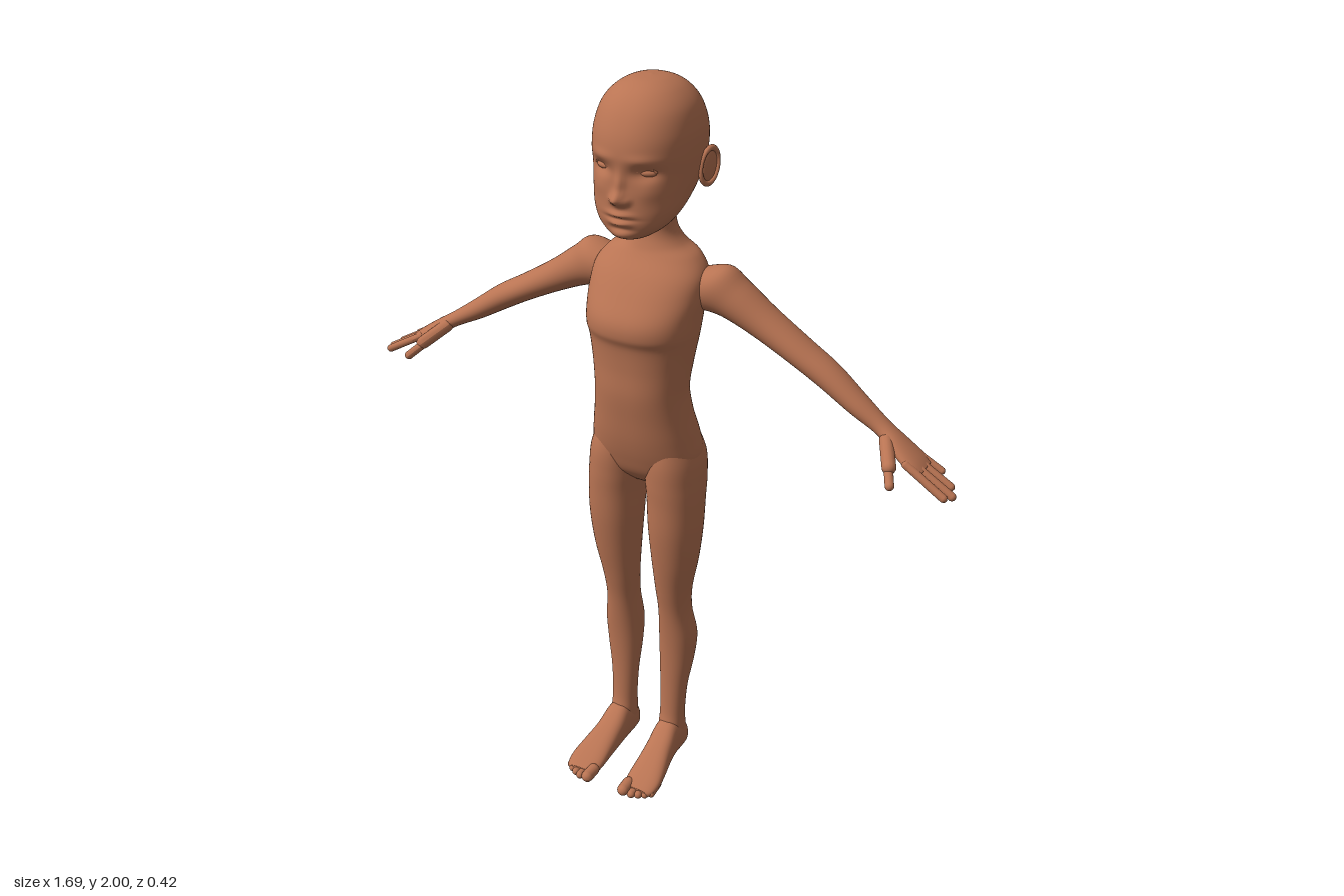
import * as THREE from 'three';

const V = (x, y, z) => new THREE.Vector3(x, y, z);
const X = V(1, 0, 0), Y = V(0, 1, 0), Z = V(0, 0, 1);

// Catmull-Rom blend of neighbouring rows of numbers
function sample(rows, t) {
  const i = Math.min(Math.floor(t), rows.length - 2), f = t - i;
  const at = k => rows[Math.max(0, Math.min(rows.length - 1, k))];
  const [a, b, c, d] = [at(i - 1), at(i), at(i + 1), at(i + 2)];
  return b.map((_, k) => 0.5 * (2 * b[k] + (c[k] - a[k]) * f
    + (2 * a[k] - 5 * b[k] + 4 * c[k] - d[k]) * f * f
    + (3 * b[k] - a[k] - 3 * c[k] + d[k]) * f ** 3));
}

// Smooth closed skin through rows [cx, cy, cz, ru, rv]; rows advance along u x v
function loft(rows, u, v, { sides = 40, steps = 6, power = 2, shape } = {}) {
  const pos = [], idx = [], n = (rows.length - 1) * steps;
  const round = c => Math.sign(c) * Math.abs(c) ** (2 / power);
  for (let i = 0; i <= n; i++) {
    const [x, y, z, ru, rv] = sample(rows, i / steps);
    for (let j = 0; j < sides; j++) {
      const a = j / sides * Math.PI * 2;
      const p = V(x, y, z).addScaledVector(u, Math.max(ru, 0.001) * round(Math.cos(a)))
        .addScaledVector(v, Math.max(rv, 0.001) * round(Math.sin(a)));
      if (shape) shape(p, Math.sin(a));
      pos.push(p.x, p.y, p.z);
      const k = (j + 1) % sides, r = i * sides;
      if (i < n) idx.push(r + j, r + k, r + sides + k, r + j, r + sides + k, r + sides + j);
    }
  }
  // end caps
  const first = rows[0], last = rows[rows.length - 1], c = pos.length / 3;
  pos.push(...first.slice(0, 3), ...last.slice(0, 3));
  for (let j = 0; j < sides; j++) {
    const k = (j + 1) % sides;
    idx.push(c, k, j, c + 1, n * sides + j, n * sides + k);
  }
  const g = new THREE.BufferGeometry();
  g.setAttribute('position', new THREE.Float32BufferAttribute(pos, 3));
  g.setIndex(idx);
  g.computeVertexNormals();
  return g;
}

// Rounded finger or toe between two points
function digit(a, b, r) {
  const d = b.clone().sub(a), len = d.length();
  const g = new THREE.CapsuleGeometry(r, Math.max(len - 2 * r, 0.001), 6, 14);
  g.applyQuaternion(new THREE.Quaternion().setFromUnitVectors(Y, d.normalize()));
  return g.translate((a.x + b.x) / 2, (a.y + b.y) / 2, (a.z + b.z) / 2);
}

function mirrored(geometry) {
  const g = geometry.clone().scale(-1, 1, 1), ix = g.index;
  for (let i = 0; i < ix.count; i += 3) {
    const t = ix.getX(i);
    ix.setX(i, ix.getX(i + 1));
    ix.setX(i + 1, t);
  }
  g.computeVertexNormals();
  return g;
}

// Horizontal slices: [y, inner x, outer x, front z, back z]
const slice = ([y, x0, x1, f, b]) => [(x0 + x1) / 2, y, (f + b) / 2, (x1 - x0) / 2, (f - b) / 2];
// Symmetric slices: [y, half width, front z, back z]
const even = ([y, w, f, b]) => slice([y, -w, w, f, b]);

export function createModel() {
  const model = new THREE.Group();
  const skin = new THREE.MeshStandardMaterial({ color: 0xb97453 });
  skin.name = 'clay brown';
  const add = (name, g) => {
    const m = new THREE.Mesh(g, skin);
    m.name = name;
    model.add(m);
  };
  const pair = (name, g) => {
    add('left ' + name, g);
    add('right ' + name, mirrored(g));
  };

  // Neck and torso, with a shallow groove down the back
  add('torso', loft([
    [1.74, .055, -.03, -.13], [1.66, .053, -.03, -.125], [1.61, .056, -.03, -.135],
    [1.575, .08, -.02, -.15], [1.55, .12, -.005, -.16], [1.51, .15, .03, -.165],
    [1.46, .155, .065, -.165], [1.41, .15, .095, -.16], [1.37, .147, .1, -.15],
    [1.335, .142, .088, -.14], [1.27, .132, .083, -.125], [1.2, .125, .083, -.115],
    [1.13, .132, .075, -.125], [1.06, .145, .065, -.145], [1.0, .152, .05, -.15],
    [.95, .13, .03, -.12], [.91, .06, -.01, -.07]].map(even), X, Z, {
    sides: 64, power: 2.25,
    shape: (p, s) => {
      if (s < 0) p.z += .012 * Math.exp(-((p.x / .025) ** 2) - ((p.y - 1.28) / .25) ** 2);
    } }));

  // Head, with the face shaped by soft bumps: [x, y, width, height, depth]
  const bumps = [
    [0, 1.738, .017, .016, .028], [0, 1.77, .012, .032, .013], [.02, 1.733, .009, .009, .009],
    [.06, 1.803, .03, .017, -.014], [.055, 1.836, .035, .012, .004], [.07, 1.755, .03, .025, .004],
    [0, 1.698, .03, .007, .011], [0, 1.687, .038, .003, -.004], [0, 1.676, .026, .007, .011],
    [0, 1.66, .03, .006, -.004], [0, 1.643, .028, .012, .007]];
  add('head', loft([
    [2.0, .002, -.058, -.062], [1.994, .045, -.01, -.11], [1.975, .083, .03, -.15],
    [1.94, .114, .063, -.182], [1.89, .13, .088, -.206], [1.84, .133, .098, -.214],
    [1.79, .13, .093, -.198], [1.745, .123, .094, -.165], [1.7, .111, .096, -.11],
    [1.665, .09, .094, -.06], [1.64, .058, .087, -.02], [1.63, .03, .075, .02],
    [1.627, .002, .052, .048]].map(even), X, Z, {
    sides: 120, steps: 10, power: 2.15,
    shape: (p, s) => {
      if (s <= 0) return;
      let d = 0;
      for (const [x, y, w, h, k] of bumps)
        d += k * Math.exp(-(((Math.abs(p.x) - x) / w) ** 2) - ((p.y - y) / h) ** 2);
      p.z += d * Math.min(1, s * 2);
    } }));

  // Eyes
  pair('eye', new THREE.SphereGeometry(1, 24, 16).scale(.023, .01, .012).rotateY(.35).translate(.06, 1.803, .061));
  pair('eyelid', new THREE.TorusGeometry(.023, .0035, 8, 24, Math.PI).scale(1, .5, 1)
    .rotateY(.4).translate(.06, 1.805, .069));

  // Ears: a shallow cup with a raised rim
  const placeEar = g => g.rotateX(-.15).rotateY(-.35).translate(.136, 1.785, -.098);
  pair('ear', placeEar(new THREE.SphereGeometry(1, 20, 14).scale(.009, .047, .027)));
  pair('ear rim', placeEar(new THREE.TorusGeometry(.04, .007, 10, 32).rotateY(Math.PI / 2)
    .scale(1, 1.12, .7).translate(.004, 0, 0)));

  // Legs
  pair('leg', loft([
    [1.08, .02, .125, .03, -.12], [1.0, .006, .155, .045, -.148], [.93, .008, .163, .046, -.143],
    [.87, .014, .165, .043, -.128], [.78, .018, .163, .038, -.118], [.68, .025, .152, .024, -.108],
    [.58, .032, .133, .005, -.1], [.5, .036, .128, -.01, -.106], [.41, .032, .138, -.02, -.124],
    [.33, .034, .132, -.025, -.115], [.24, .04, .119, -.026, -.096], [.15, .043, .114, -.022, -.09],
    [.1, .042, .115, -.012, -.096], [.05, .045, .115, -.01, -.098]].map(slice), X, Z, { sides: 44, power: 2.1 }));

  // Feet: slices [z, centre x, half width, top y]
  pair('foot', loft([
    [-.106, .08, .006, .05], [-.098, .08, .027, .075], [-.07, .08, .036, .11], [-.02, .08, .038, .122],
    [.03, .083, .041, .092], [.08, .088, .046, .068], [.13, .092, .05, .046],
    [.165, .092, .046, .032], [.18, .09, .036, .026]]
    .map(([z, x, w, top]) => [x, top / 2 + .004, z, w, top / 2 - .001]), X, Y, { power: 2.5 }));
  [[.059, .21, .017], [.084, .204, .0115], [.102, .196, .011], [.118, .186, .0105], [.132, .173, .01]]
    .forEach(([x, z, r], i) => pair('toe ' + (i + 1), digit(V(x * .97, r + .007, z - .065), V(x, r + .004, z), r)));

  // Arms and palms, sloping down and outwards
  const up = V(.5, .866, 0);
  pair('arm', loft([
    [.09, 1.475, -.088, .045, .05], [.16, 1.474, -.094, .07, .062], [.22, 1.45, -.1, .055, .058],
    [.3, 1.403, -.105, .043, .051], [.4, 1.345, -.107, .036, .047], [.48, 1.298, -.107, .034, .043],
    [.56, 1.245, -.102, .028, .036], [.63, 1.202, -.097, .021, .028], [.68, 1.172, -.086, .019, .04],
    [.73, 1.142, -.077, .015, .049], [.757, 1.127, -.075, .008, .045]], up, Z));

  // Fingers: [base z, tip z, tip x, radius]
  const handY = x => 1.142 - .58 * (x - .73);
  [[-.112, -.12, .793, .0095], [-.089, -.091, .83, .0105], [-.064, -.062, .845, .011], [-.04, -.033, .833, .0105]]
    .forEach(([z0, z1, x, r], i) => pair('finger ' + (i + 1), digit(V(.71, handY(.71), z0), V(x, handY(x), z1), r)));
  pair('thumb base', digit(V(.645, 1.19, -.085), V(.697, 1.142, .008), .018));
  pair('thumb', digit(V(.675, 1.158, -.03), V(.714, 1.118, .043), .0115));

  return model;
}
